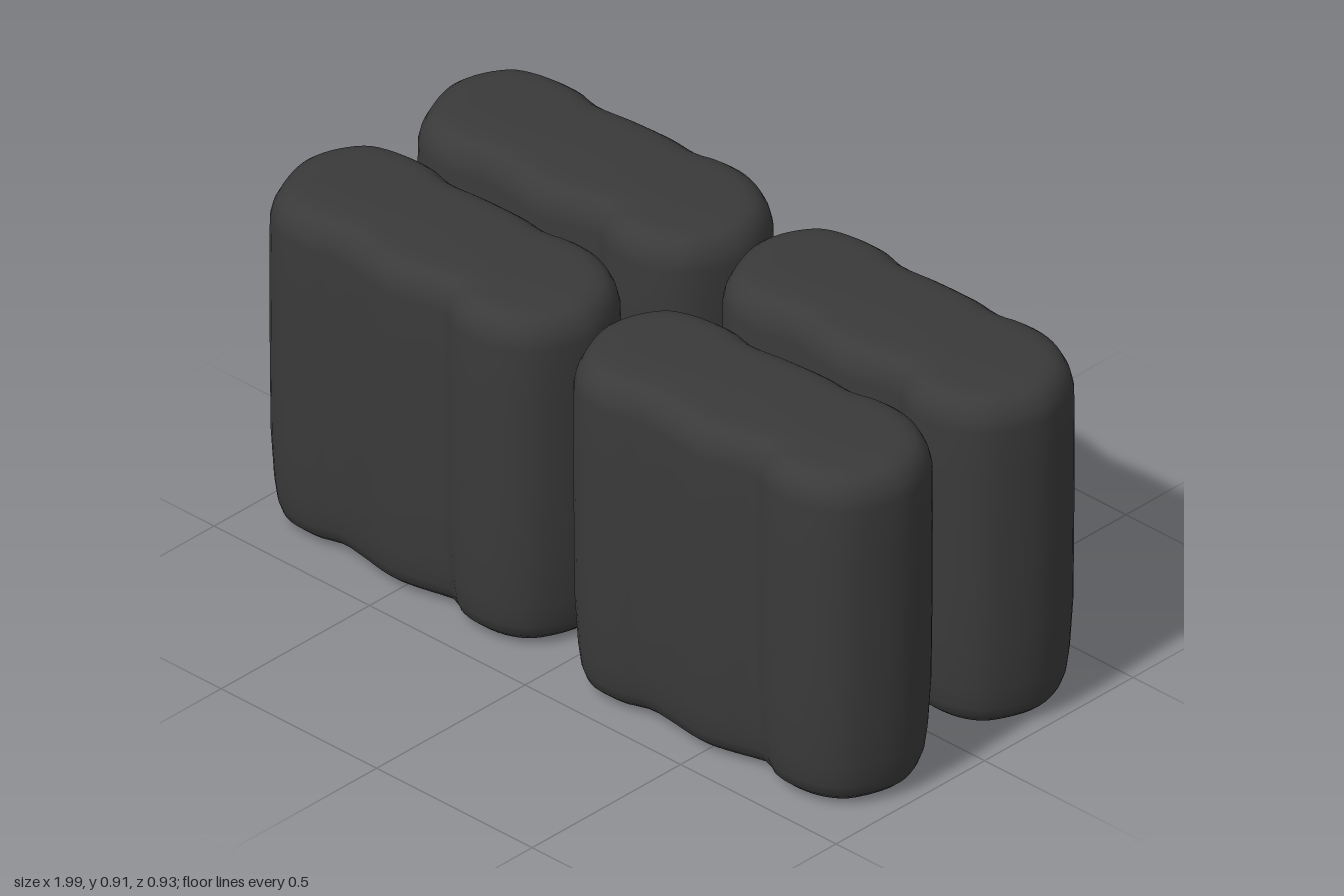
import * as THREE from 'three';

const HEIGHT = 0.91;
const SIDES = 96;

// Plan outline of one pouch (x, z): three soft lobes side by side
const OUTLINE = [
  [-0.49, -0.015], [-0.47, -0.095], [-0.42, -0.165], [-0.34, -0.198], [-0.23, -0.205],
  [-0.16, -0.19], [-0.06, -0.2], [0.07, -0.206], [0.15, -0.2], [0.21, -0.214],
  [0.29, -0.214], [0.37, -0.188], [0.44, -0.135], [0.48, -0.055], [0.49, 0.005],
  [0.47, 0.085], [0.43, 0.153], [0.36, 0.195], [0.27, 0.207], [0.21, 0.195],
  [0.16, 0.17], [0.12, 0.182], [0, 0.207], [-0.12, 0.193], [-0.19, 0.187],
  [-0.25, 0.206], [-0.35, 0.205], [-0.42, 0.165], [-0.47, 0.075],
];

// Side profile: height and how far the outline is drawn in
const PROFILE = [
  [0, 0.12], [0.003, 0.08], [0.012, 0.05], [0.03, 0.03], [0.06, 0.019], [0.12, 0.011],
  [0.25, 0.003], [0.45, 0.001], [0.7, 0], [0.83, 0.001], [0.86, 0.008], [0.885, 0.021],
  [0.9, 0.04], [0.907, 0.065], [HEIGHT, 0.1],
];

function pouchGeometry() {
  const curve = new THREE.CatmullRomCurve3(
    OUTLINE.map(([x, z]) => new THREE.Vector3(x, 0, z)), true);
  const positions = [];
  const index = [];

  // Stacked rings, each inset along the outline's normal
  for (const [y, inset] of PROFILE) {
    for (let i = 0; i < SIDES; i++) {
      const p = curve.getPointAt(i / SIDES);
      const t = curve.getTangentAt(i / SIDES);
      positions.push(p.x - t.z * inset, y, p.z + t.x * inset);
    }
  }
  const last = PROFILE.length - 1;
  for (let r = 0; r < last; r++) {
    for (let i = 0; i < SIDES; i++) {
      const j = (i + 1) % SIDES;
      const a = r * SIDES + i, b = r * SIDES + j;
      index.push(a, a + SIDES, b, b, a + SIDES, b + SIDES);
    }
  }

  // Flat bottom and top
  const bottom = positions.length / 3;
  positions.push(0, 0, 0, 0, HEIGHT, 0);
  for (let i = 0; i < SIDES; i++) {
    const j = (i + 1) % SIDES;
    index.push(bottom, i, j);
    index.push(bottom + 1, last * SIDES + j, last * SIDES + i);
  }

  const geometry = new THREE.BufferGeometry();
  geometry.setAttribute('position', new THREE.Float32BufferAttribute(positions, 3));
  geometry.setIndex(index);
  geometry.computeVertexNormals();
  return geometry;
}

export function createModel() {
  const model = new THREE.Group();
  model.name = 'pouches';
  const material = new THREE.MeshStandardMaterial({ color: 0x3a3a3a });
  const geometry = pouchGeometry();

  // Four pouches in two rows, each turned slightly
  const places = [
    ['frontRightPouch', -0.51, 0.23, -0.03],
    ['frontLeftPouch', 0.495, 0.247, 0.02],
    ['backRightPouch', -0.49, -0.255, 0],
    ['backLeftPouch', 0.5, -0.238, -0.025],
  ];
  for (const [name, x, z, turn] of places) {
    const pouch = new THREE.Mesh(geometry, material);
    pouch.name = name;
    pouch.position.set(x, 0, z);
    pouch.rotation.y = turn;
    model.add(pouch);
  }
  return model;
}
